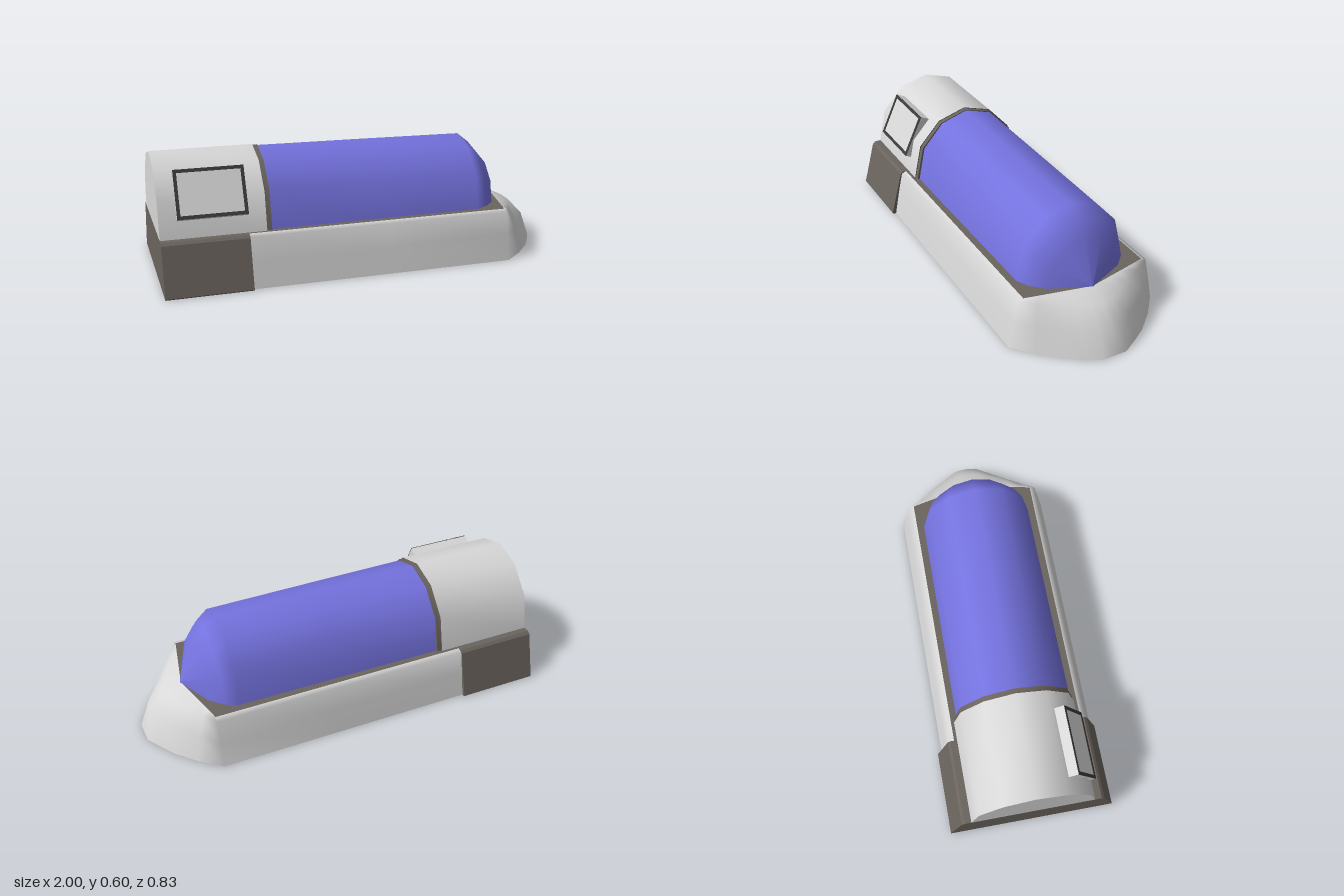
import * as THREE from 'three';

const mat = (name, color, side = THREE.FrontSide) => {
  const m = new THREE.MeshStandardMaterial({ color, side });
  m.name = name;
  return m;
};

// Smooth grid surface through rows of [x, y, z] points
function loft(rows) {
  const n = rows[0].length, index = [];
  for (let r = 0; r < rows.length - 1; r++) {
    for (let c = 0; c < n - 1; c++) {
      const a = r * n + c, b = a + n;
      index.push(a, b, a + 1, b, b + 1, a + 1);
    }
  }
  const g = new THREE.BufferGeometry();
  g.setAttribute('position', new THREE.Float32BufferAttribute(rows.flat(2), 3));
  g.setIndex(index);
  g.computeVertexNormals();
  return g;
}

// Arched cross-section at x, scaled about the rim height, from +z over to -z
const DECK = 0.25;
const HALF = [[0.305, 0], [0.265, 0.18], [0.15, 0.305], [0, 0.35]];
const ARCH = [...HALF, ...HALF.slice(0, 3).reverse().map(([z, y]) => [-z, y])];
const arch = (x, sz, sy) => ARCH.map(([z, y]) => [x, DECK + y * sy, z * sz]);

export function createModel() {
  const model = new THREE.Group();
  const white = mat('shellWhite', 0xd8d8d8, THREE.DoubleSide);
  const brown = mat('warmGrey', 0x6b645e, THREE.DoubleSide);
  const blue = mat('canopyBlue', 0x7472de, THREE.DoubleSide);
  const dark = mat('frameDark', 0x3c3b39);
  const add = (name, geometry, material, parent = model) => {
    const m = new THREE.Mesh(geometry, material);
    m.name = name;
    parent.add(m);
    return m;
  };

  // Hull wall: outline stations [x, z] at the foot, each with a rim-to-foot profile
  const side = [[-0.59, 0.395], [0.1, 0.395], [0.72, 0.395], [0.82, 0.31], [0.91, 0.21], [0.96, 0.13], [1, 0.06]];
  const outline = [...side.map(([x, z]) => [x, -z]), [1, 0], ...side.slice().reverse()];
  const rows = outline.map(([x, z]) => {
    const w = Math.abs(z) / 0.395;
    const topX = x <= 0.72 ? x : 0.72 + 0.07 * (1 - w);
    const topZ = z * 0.32 / 0.395;
    const out = [0, 0.43 - 0.1 * w, 0.81 - 0.15 * w, 1];
    const ys = [DECK, 0.21 + 0.03 * w, 0.13, 0];
    return out.map((f, i) => [topX + (x - topX) * f, ys[i], topZ + (z - topZ) * f]);
  });
  add('hull', loft(rows), white);
  add('hullBottom', loft(rows.map((r) => [r[3], [r[3][0], 0, 0]])), white);
  add('deck', loft(rows.map((r) => [[r[0][0], DECK, 0], r[0]])), brown);

  // Rear block: tapered prism with clipped top edges
  const s = new THREE.Shape([
    [-0.415, 0.006], [-0.41, 0], [0.41, 0], [0.415, 0.006],
    [0.352, 0.238], [0.338, 0.25], [-0.338, 0.25], [-0.352, 0.238],
  ].map(([x, y]) => new THREE.Vector2(x, y)));
  const block = new THREE.ExtrudeGeometry(s, { depth: 0.41, bevelEnabled: false });
  block.rotateY(-Math.PI / 2).translate(-0.59, 0, 0);
  add('rearBlock', block, brown);

  // Head cover with its flat back
  add('headCover', loft([arch(-1, 1, 1), arch(-0.5, 1, 1)]), white);
  add('headCoverBack', loft([arch(-1, 0, 0), arch(-1, 1, 1)]), white);

  // Collar between cover and canopy
  add('collarFace', loft([arch(-0.5, 1, 1), arch(-0.5, 0, 0)]), brown);
  add('collar', loft([arch(-0.5, 0.985, 0.99), arch(-0.475, 0.985, 0.99)]), brown);
  add('collarFront', loft([arch(-0.475, 0.985, 0.99), arch(-0.475, 0, 0)]), brown);

  // Canopy closing to a point at the nose
  add('canopy', loft([
    arch(-0.48, 0.95, 0.98), arch(0.05, 0.94, 0.965), arch(0.59, 0.93, 0.945),
    arch(0.65, 0.83, 0.81), arch(0.71, 0.63, 0.61), arch(0.795, 0, 0),
  ]), blue);

  // Tilted side panel with a thin frame
  const panel = new THREE.Group();
  panel.name = 'sidePanel';
  panel.position.set(-0.752, 0.438, 0.24);
  panel.rotation.x = -0.444;
  model.add(panel);
  const W = 0.33, H = 0.233, B = 0.016;
  add('panelBox', new THREE.BoxGeometry(W, H, 0.055), white, panel);
  for (const k of [-1, 1]) {
    add('frameRail', new THREE.BoxGeometry(W, B, 0.004), dark, panel).position.set(0, k * (H - B) / 2, 0.0285);
    add('framePost', new THREE.BoxGeometry(B, H - 2 * B, 0.004), dark, panel).position.set(k * (W - B) / 2, 0, 0.0285);
  }
  return model;
}
